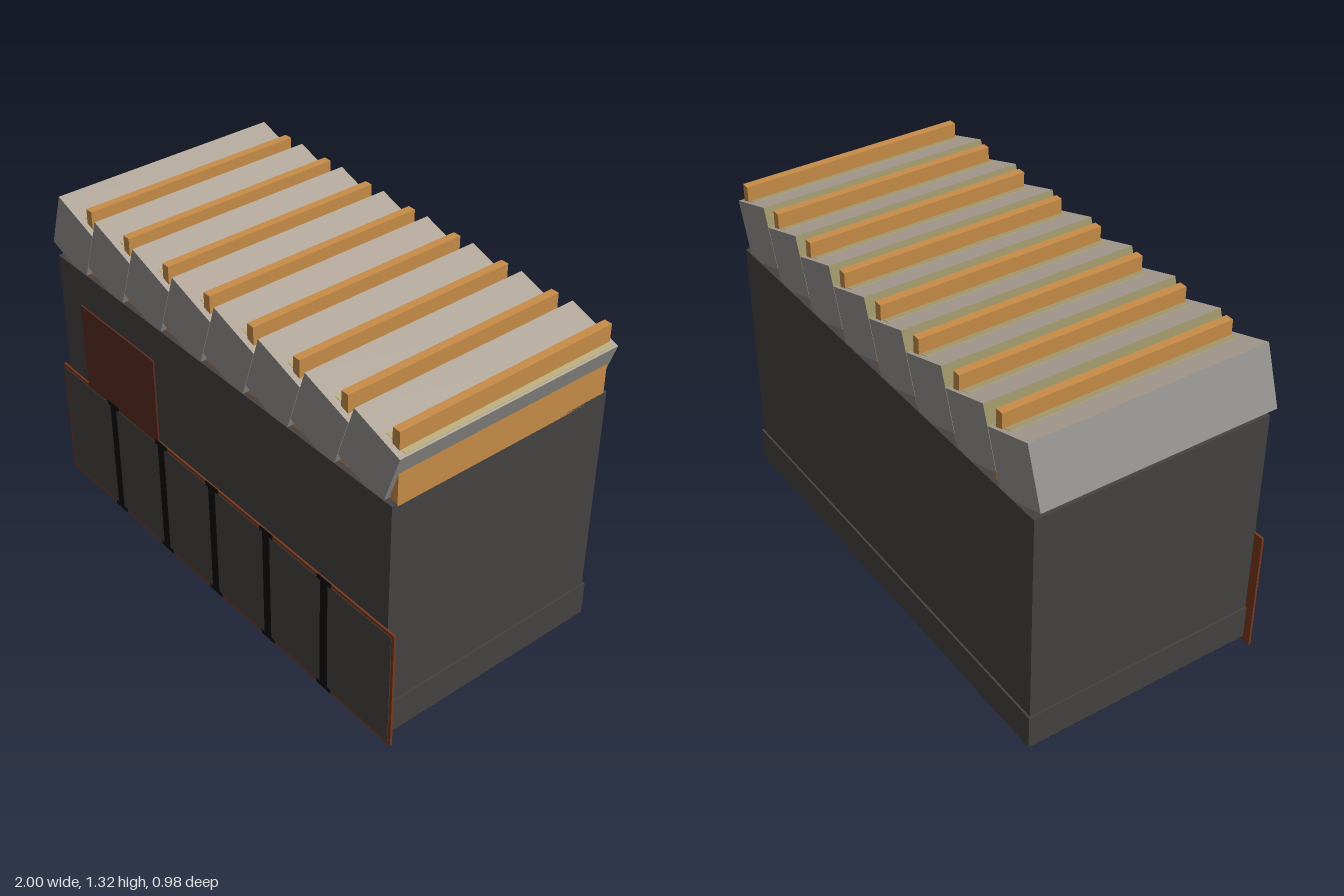
import * as THREE from 'three';

const mat = (name, color) => {
  const m = new THREE.MeshStandardMaterial({ color });
  m.name = name;
  return m;
};

export function createModel() {
  const wall = mat('charcoal wall', 0x464242);
  const black = mat('black', 0x0b0b0b);
  const rust = mat('rust frame', 0x783a20);
  const door = mat('dark red door', 0x5b2c22);
  const wood = mat('orange wood', 0xc88d48);
  const grey = mat('roof grey', 0x94928e);
  const beige = mat('roof beige', 0xb0a598);
  const olive = mat('olive riser', 0x989064);
  const glow = mat('yellowed roof', 0xb4a676);

  const model = new THREE.Group();
  // Box given by its minimum and maximum along each axis
  const box = (name, material, [x0, x1], [y0, y1], [z0, z1], parent = model) => {
    const mesh = new THREE.Mesh(new THREE.BoxGeometry(x1 - x0, y1 - y0, z1 - z0), material);
    mesh.position.set((x0 + x1) / 2, (y0 + y1) / 2, (z0 + z1) / 2);
    mesh.name = name;
    parent.add(mesh);
    return mesh;
  };

  // Main hall, plinth and underside
  box('walls', wall, [-0.96, 0.96], [0.03, 1.04], [-0.482, 0.48]);
  box('plinth', wall, [-0.967, 0.967], [0.022, 0.165], [-0.49, 0.479]);
  box('underside', black, [-0.966, 0.966], [0.02, 0.023], [-0.489, 0.478]);

  // Door panel above the fence
  box('door', door, [-0.82, -0.34], [0.4, 0.885], [0.476, 0.487]);

  // Front fence: rust slab, dark face and black dividers
  const fence = new THREE.Group();
  fence.name = 'frontFence';
  model.add(fence);
  box('fenceFrame', rust, [-1, 1], [0, 0.52], [0.478, 0.487], fence);
  box('fencePanel', wall, [-0.987, 0.987], [0.015, 0.505], [0.486, 0.489], fence);
  for (let i = -2; i <= 2; i++) {
    const x = i * 0.321;
    box('divider', black, [x - 0.019, x + 0.019], [0.01, 0.51], [0.487, 0.491], fence);
    for (const y of [0, 0.503])
      box('dividerCap', black, [x - 0.037, x + 0.037], [y + 0.001, y + 0.018], [0.486, 0.4905], fence);
  }

  // Sawtooth roof: eight tilted blocks, each with an upright plank
  for (let i = 0; i < 8; i++) {
    const dx = i * 0.241;
    const tooth = new THREE.Group();
    tooth.name = 'roofTooth';
    tooth.position.set(-0.845 + dx, 1.163, 0);
    tooth.rotation.z = -0.32;
    model.add(tooth);
    const riser = i === 0 ? grey : olive;
    box('roofBlock', [grey, riser, beige, grey, grey, grey],
      [-0.113, 0.113], [-0.1185, 0.1185], [-0.479, 0.479], tooth);
    box('roofTint', glow, [0.01, 0.105], [0.1175, 0.12], [-0.46, 0.45], tooth);
    box('roofPlank', wood, [-0.76 + dx, -0.727 + dx], [1.03, 1.32], [-0.466, 0.458]);
  }
  return model;
}
